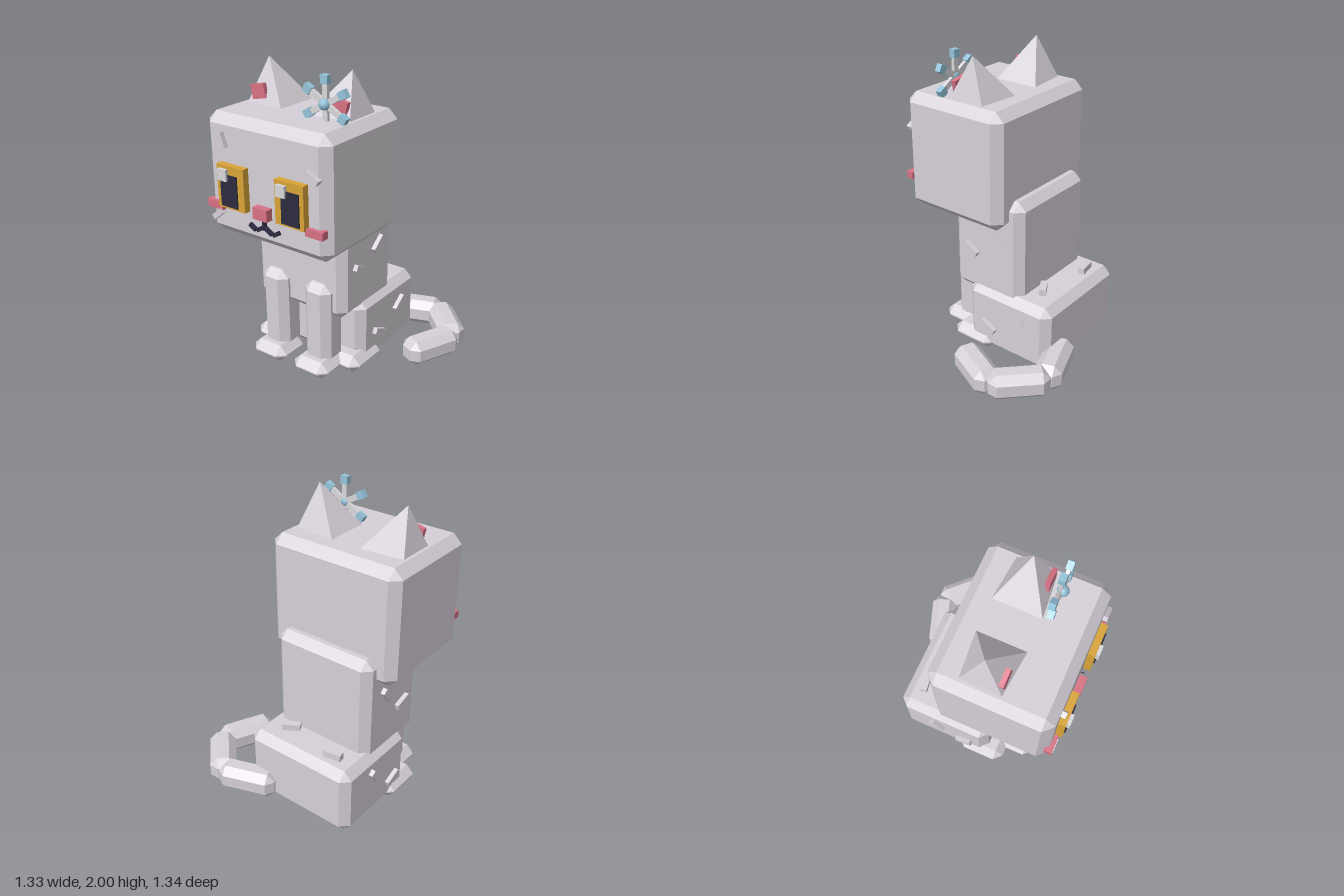
import * as THREE from 'three';
import { ConvexGeometry } from 'three/addons/geometries/ConvexGeometry.js';

const mat = (name, color) => {
  const m = new THREE.MeshStandardMaterial({ color });
  m.name = name;
  return m;
};

// Box with every edge cut off by c
function chamferBox(w, h, d, c) {
  const pts = [];
  for (const sx of [-1, 1]) for (const sy of [-1, 1]) for (const sz of [-1, 1]) {
    const [x, y, z] = [w / 2, h / 2, d / 2];
    pts.push(
      new THREE.Vector3(sx * x, sy * (y - c), sz * (z - c)),
      new THREE.Vector3(sx * (x - c), sy * y, sz * (z - c)),
      new THREE.Vector3(sx * (x - c), sy * (y - c), sz * z));
  }
  return new ConvexGeometry(pts);
}

export function createModel() {
  const fur = mat('greyFur', 0xd6d0d8);
  const pale = mat('paleGrey', 0xd9d7da);
  const gold = mat('gold', 0xd9a437);
  const dark = mat('darkNavy', 0x2c2b40);
  const pink = mat('pink', 0xd77284);
  const blue = mat('iceBlue', 0x95c4da);

  const root = new THREE.Group();
  root.name = 'cat';
  const cat = new THREE.Group(); // symmetric about its own x = 0
  cat.name = 'body';
  cat.position.x = -0.2;
  root.add(cat);

  const add = (name, geo, m, pos, rot = [0, 0, 0], parent = cat) => {
    const mesh = new THREE.Mesh(geo, m);
    mesh.name = name;
    mesh.position.set(...pos);
    mesh.rotation.set(...rot);
    parent.add(mesh);
    return mesh;
  };
  const box = (...s) => new THREE.BoxGeometry(...s);

  // Main masses
  add('head', chamferBox(0.94, 0.78, 0.76, 0.06), fur, [0, 1.34, 0.225]);
  add('torso', chamferBox(0.72, 0.735, 0.56, 0.055), fur, [0, 0.767, 0.037]);
  add('haunch', chamferBox(0.8, 0.467, 0.66, 0.055), fur, [0, 0.243, -0.16]);

  for (const s of [-1, 1]) {
    const side = s > 0 ? 'left' : 'right';

    // Legs and paws
    add(side + 'FrontLeg', chamferBox(0.206, 0.58, 0.206, 0.052), fur, [s * 0.175, 0.355, 0.282]);
    add(side + 'FrontPaw', chamferBox(0.28, 0.12, 0.28, 0.055), fur, [s * 0.175, 0.06, 0.335]);
    add(side + 'HindPaw', chamferBox(0.27, 0.12, 0.34, 0.055), fur, [s * 0.3, 0.06, 0.12]);

    // Ear: four-sided pyramid leaning outward, sunk into the head
    const ear = [[0.39, 1.73, 0.282], [0.39, 1.73, 0.028], [0.105, 1.73, 0.001], [0.105, 1.73, 0.309], [0.318, 2, 0.155]];
    add(side + 'Ear', new ConvexGeometry(ear.map(([x, y, z]) => new THREE.Vector3(s * x, y, z))), fur, [0, 0, 0]);
    add(side + 'InnerEar', box(0.108, 0.092, 0.03), pink, [s * 0.31, 1.802, 0.267], [0, 0, -s * 0.21]);

    // Eye
    add(side + 'Eye', box(0.214, 0.277, 0.06), gold, [s * 0.227, 1.298, 0.62]);
    add(side + 'Pupil', box(0.132, 0.206, 0.04), dark, [s * 0.2375, 1.277, 0.638]);
    add(side + 'EyeHighlight', box(0.068, 0.074, 0.03), pale, [s * 0.227 - 0.049, 1.378, 0.657]);

    // Cheek and mouth strokes
    add(side + 'Cheek', box(0.127, 0.05, 0.05), pink, [s * 0.387, 1.15, 0.606]);
    add(side + 'MouthInner', box(0.064, 0.025, 0.03), dark, [s * 0.031, 1.072, 0.61], [0, 0, -s * 0.52]);
    add(side + 'MouthOuter', box(0.055, 0.025, 0.03), dark, [s * 0.093, 1.068, 0.61], [0, 0, s * 0.52]);
  }
  add('nose', box(0.11, 0.075, 0.07), pink, [0, 1.183, 0.62]);
  add('mouthCentre', box(0.022, 0.08, 0.03), dark, [0, 1.11, 0.61]);

  // Fur tufts on the face: x, y, turn
  for (const [x, y, r] of [[-0.305, 1.578, -1.24], [0.377, 1.49, -0.52], [-0.37, 1.09, 0.67]])
    add('faceTuft', box(0.1, 0.035, 0.05), fur, [x, y, 0.61], [0, 0, r]);

  // Fur tufts on the flanks: x, y, z, turn
  for (const [x, y, z, r] of [
    [0.365, 0.725, 0.15, -0.52], [0.365, 0.83, -0.05, 0.68],
    [0.405, 0.305, -0.26, 0.62], [0.405, 0.2, -0.02, -0.45],
    [-0.365, 0.7, 0.13, -0.3], [-0.365, 0.845, -0.05, 0.9],
    [-0.405, 0.325, -0.2, 0.9], [-0.405, 0.18, 0.0, -0.4]])
    add('flankTuft', box(0.05, 0.042, 0.12), fur, [x, y, z], [r, 0, 0]);

  // Fur tufts on the rump
  add('rumpTuft', box(0.12, 0.05, 0.045), fur, [-0.207, 0.495, -0.37], [0, 0.14, 0]);
  add('rumpTuft', box(0.12, 0.05, 0.045), fur, [0.185, 0.495, -0.305], [0, 0.53, 0]);

  // Tail: three chamfered lengths curling to the left side
  const tail = new THREE.Group();
  tail.name = 'tail';
  root.add(tail);
  for (const [x0, z0, x1, z1] of [
    [-0.016, -0.47, 0.36, -0.605], [0.33, -0.615, 0.608, -0.337], [0.6, -0.358, 0.442, -0.004]]) {
    const len = Math.hypot(x1 - x0, z1 - z0);
    add('tailSegment', chamferBox(0.18, 0.18, len, 0.05), fur, [(x0 + x1) / 2, 0.12, (z0 + z1) / 2],
      [0, Math.atan2(x1 - x0, z1 - z0), 0], tail);
  }

  // Snowflake ornament by the left ear
  const flake = new THREE.Group();
  flake.name = 'snowflake';
  flake.position.set(0.066, 1.83, 0.345);
  root.add(flake);
  for (let i = 0; i < 6; i++) {
    const arm = new THREE.Group();
    arm.name = 'snowflakeArm';
    arm.rotation.z = i * Math.PI / 3;
    flake.add(arm);
    add('spoke', box(0.036, 0.13, 0.022), pale, [0, 0.07, 0], [0, 0, 0], arm);
    add('tip', box(0.05, 0.052, 0.04), blue, [0, 0.144, 0], [0, 0, 0], arm);
  }
  add('snowflakeCentre', new THREE.IcosahedronGeometry(0.036, 1), blue, [0, 0, 0.012], [0, 0, 0], flake);

  return root;
}
